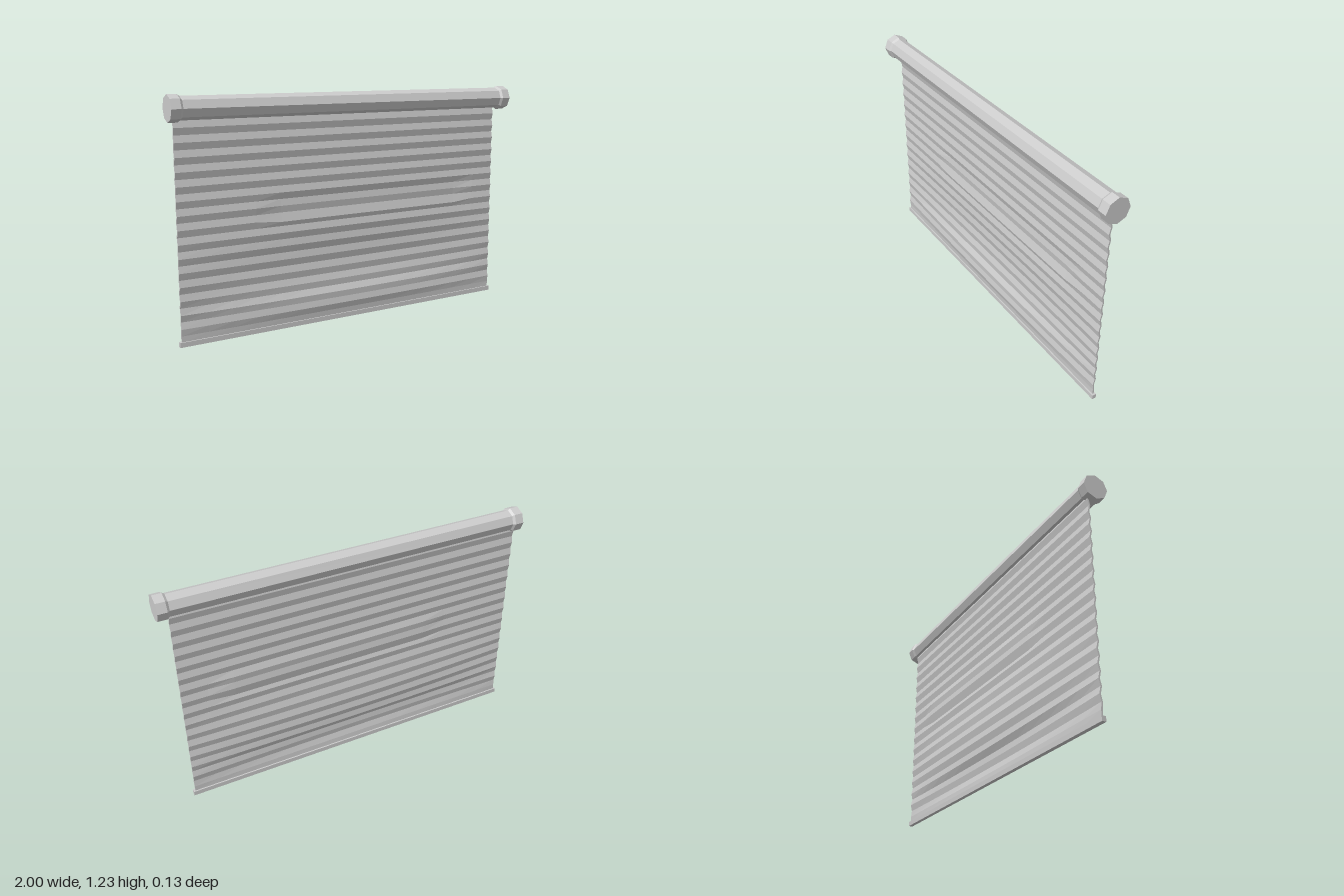
import * as THREE from 'three';

const grey = new THREE.MeshStandardMaterial({ color: 0xcccccc, flatShading: true });

function add(group, name, geometry, x, y, z) {
  const mesh = new THREE.Mesh(geometry, grey);
  mesh.name = name;
  mesh.position.set(x, y, z);
  group.add(mesh);
  return mesh;
}

// Smooth bump, 1 at the centre and 0 beyond the given half width
function bump(v, centre, half) {
  const t = Math.min(1, Math.abs(v - centre) / half);
  return 0.5 + 0.5 * Math.cos(Math.PI * t);
}

// Thin sheet with horizontal pleats and a few soft, uneven bulges
function fabricGeometry() {
  const rows = 32, step = 0.035, bottom = 0.02, height = rows * step;
  const g = new THREE.BoxGeometry(1.915, height, 0.008, 14, rows, 1);
  const p = g.attributes.position;
  for (let i = 0; i < p.count; i++) {
    const x = p.getX(i);
    const y = p.getY(i) + height / 2 + bottom;
    const row = Math.round((y - bottom) / step);
    const across = Math.max(0, 1 - (x / 0.96) ** 2);
    let z = p.getZ(i) + (row < 2 ? 0 : row % 2 ? -0.004 : 0.004);
    z -= 0.013 * across * bump(y, 0.32, 0.22);
    z += 0.011 * across * bump(y, 0.12, 0.1);
    // Loose fold across the middle
    const inFold = x > -0.45 && x < 0.75;
    if (inFold) z -= 0.006 * bump(y, 0.65, 0.08);
    const sag = inFold && Math.abs(y - 0.58) < 0.02 ? 0.012 : 0;
    p.setXYZ(i, x, y - sag - 0.01 * across * bump(y, 0.25, 0.25), z);
  }
  return g;
}

export function createModel() {
  const model = new THREE.Group();
  model.name = 'rollerBlind';
  const axisY = 1.162;

  // Eight-sided roller tube along x
  const tube = new THREE.CylinderGeometry(0.057, 0.057, 1.92, 8);
  add(model, 'rollerTube', tube.rotateZ(Math.PI / 2), 0, axisY, 0);

  // End caps with a chamfered inner rim
  const profile = [[0, 0.06], [0.057, 0.06], [0.066, 0.048], [0.066, 0], [0, 0]]
    .map(([r, h]) => new THREE.Vector2(r, -h)).reverse();
  for (const side of [1, -1]) {
    const cap = new THREE.LatheGeometry(profile, 8);
    // Lathe runs from the outer face inward; reverse to keep faces outward
    const index = cap.index.array;
    for (let i = 0; i < index.length; i += 3) {
      [index[i], index[i + 1]] = [index[i + 1], index[i]];
    }
    cap.rotateZ(-side * Math.PI / 2);
    add(model, side > 0 ? 'leftEndCap' : 'rightEndCap', cap, side, axisY, 0);
  }

  // Hanging fabric and its weighted bottom bar
  add(model, 'fabric', fabricGeometry(), -0.0125, 0, -0.022);
  add(model, 'bottomBar', new THREE.BoxGeometry(1.935, 0.025, 0.022), -0.0125, 0.0125, -0.022);
  return model;
}
